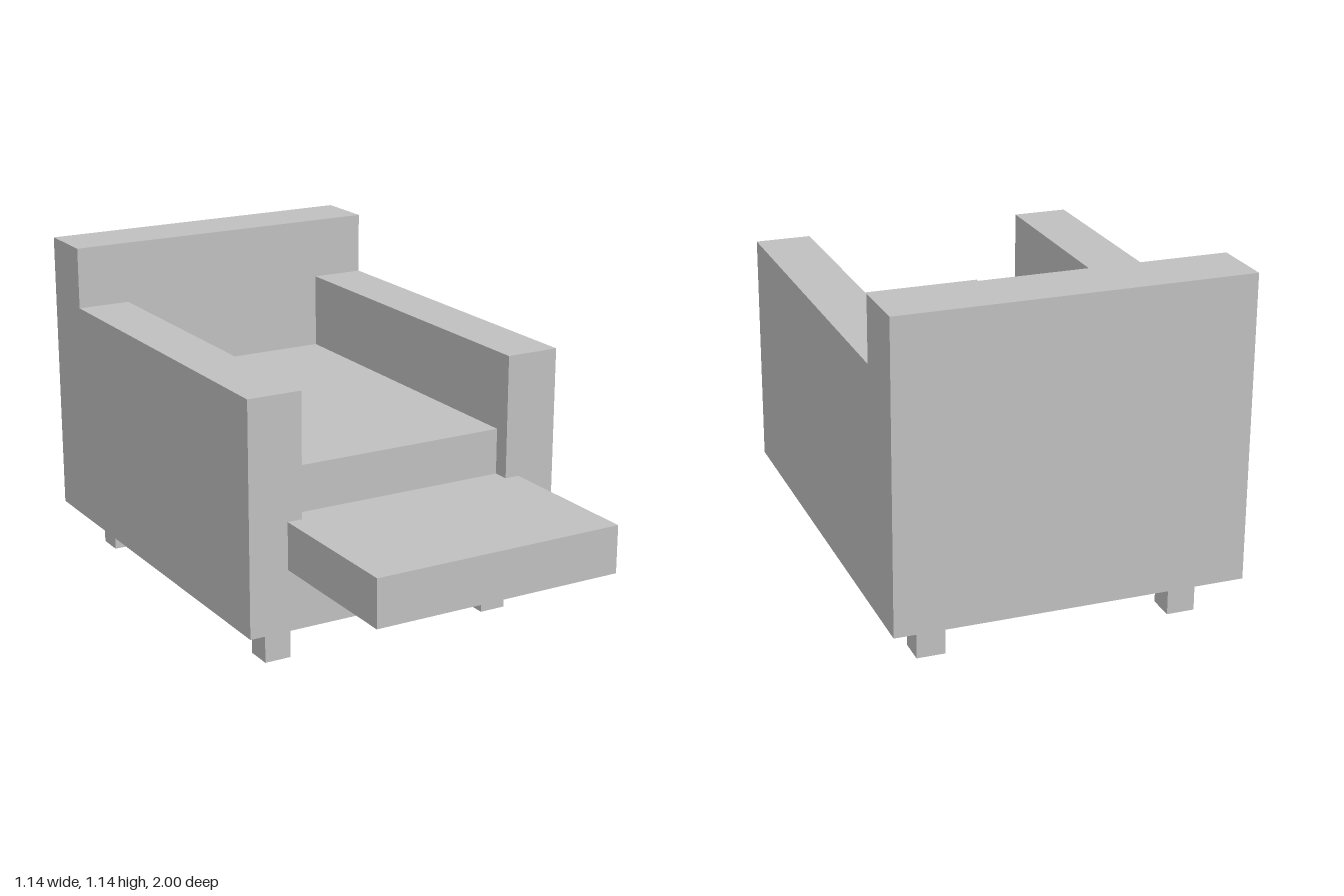
import * as THREE from 'three';

export function createModel() {
  const model = new THREE.Group();
  model.name = 'reclinerArmchair';
  const upholstery = new THREE.MeshStandardMaterial({ color: 0xbfbfbf });
  upholstery.name = 'light grey';

  // Box given by its extents along each axis
  function block(name, [x0, x1], [y0, y1], [z0, z1]) {
    const mesh = new THREE.Mesh(new THREE.BoxGeometry(x1 - x0, y1 - y0, z1 - z0), upholstery);
    mesh.position.set((x0 + x1) / 2, (y0 + y1) / 2, (z0 + z1) / 2);
    mesh.name = name;
    model.add(mesh);
  }

  const halfWidth = 0.568, inner = 0.382, bottom = 0.143;
  const backFront = -0.79, front = 0.468;

  // Body
  block('backrest', [-halfWidth, halfWidth], [bottom, 1.138], [-1, backFront]);
  block('base', [-inner, inner], [bottom, 0.509], [backFront, front]);
  block('seatCushion', [-inner, inner], [0.509, 0.664], [backFront, 0.412]);

  // Extended footrest, level with the top of the base
  block('footrest', [-0.433, 0.433], [0.35, 0.509], [front, 1]);

  // Arms and legs, mirrored left and right
  for (const [side, s] of [['left', 1], ['right', -1]]) {
    const span = (a, b) => (s > 0 ? [a, b] : [-b, -a]);
    block(side + 'Arm', span(inner, halfWidth), [bottom, 0.925], [backFront, front]);
    block(side + 'FrontLeg', span(0.369, 0.461), [0, bottom], [0.274, 0.364]);
    block(side + 'BackLeg', span(0.369, 0.461), [0, bottom], [-0.89, -0.798]);
  }
  return model;
}
